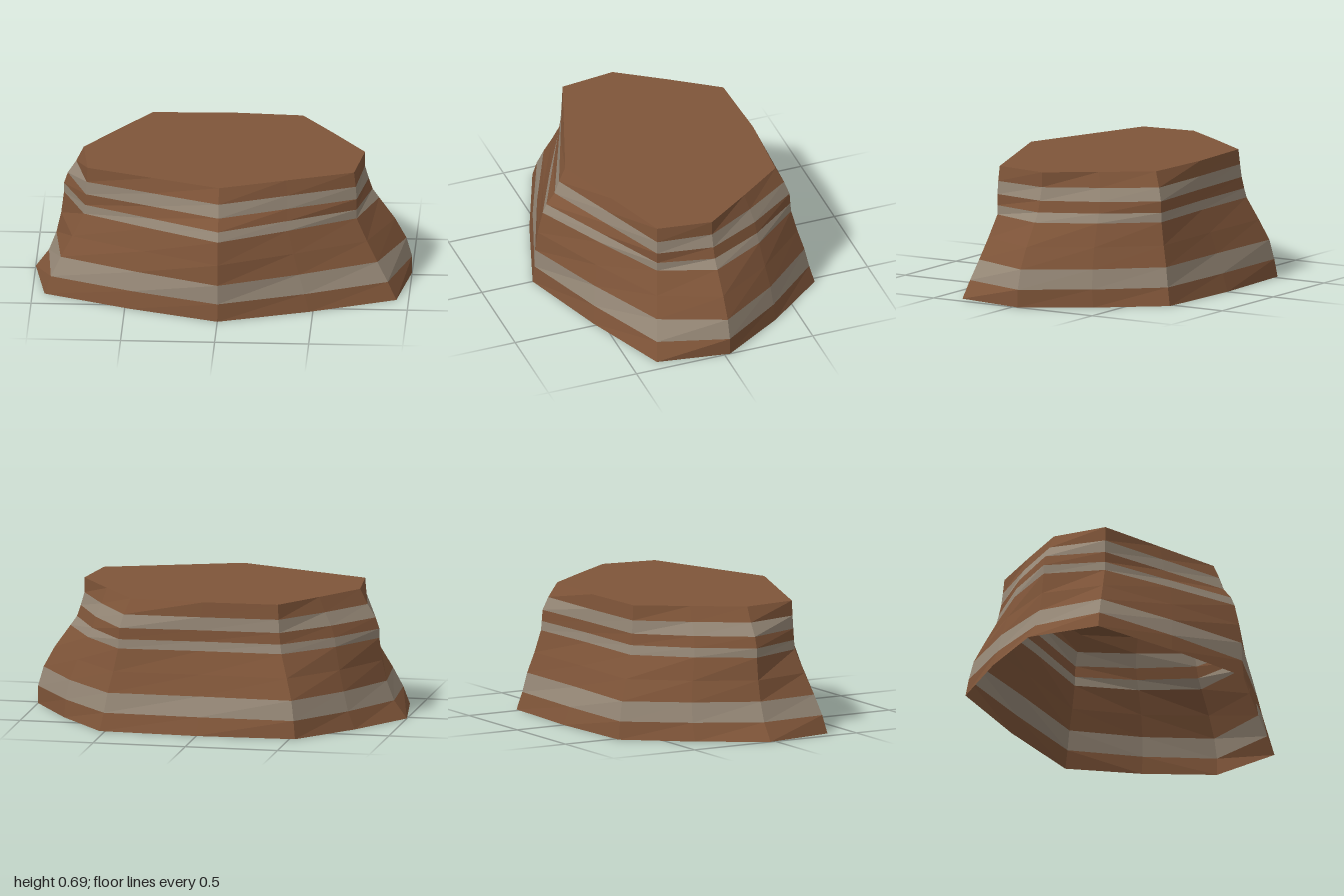
import * as THREE from 'three';

export function createModel() {
  const group = new THREE.Group();
  group.name = 'rockPlateau';
  const material = (name, color) => {
    const m = new THREE.MeshStandardMaterial({ color, flatShading: true, side: THREE.DoubleSide });
    m.name = name;
    return m;
  };
  const brown = material('brown rock', 0x7f5539);
  const grey = material('grey strata', 0x968877);

  // Heights of the strata edges
  const levels = [0, 0.095, 0.2, 0.31, 0.43, 0.48, 0.54, 0.61, 0.69];

  // How far the middle of a long edge stands out at every level
  const frontBulge = [1.025, 1.025, 1.02, 1.015, 1.01, 1, 1, 1, 1];
  const sideBulge = [1.03, 1.035, 1.04, 1.045, 1.05, 1.045, 1.035, 1.02, 1.005];
  const backBulge = [1.035, 1.015, 0.99, 0.99, 0.985, 0.985, 0.99, 1.01, 1.04];

  // Base corners, each with its own eroded profile (scale at every level);
  // bulge belongs to the edge that follows the corner
  const corners = [
    { x: 0, z: 0.712, s: [1, 0.985, 0.98, 0.96, 0.92, 0.89, 0.825, 0.79, 0.74], bulge: frontBulge },
    { x: 0.935, z: 0.36, s: [1, 0.95, 0.89, 0.83, 0.77, 0.77, 0.77, 0.765, 0.755] },
    { x: 1, z: -0.03, s: [1, 1, 0.97, 0.91, 0.825, 0.79, 0.77, 0.75, 0.75], bulge: sideBulge },
    { x: 0.53, z: -0.688, s: [1, 0.965, 0.935, 0.89, 0.85, 0.845, 0.84, 0.805, 0.75], bulge: backBulge },
    { x: -0.53, z: -0.688, s: [1, 0.98, 0.95, 0.885, 0.81, 0.795, 0.78, 0.77, 0.76], bulge: sideBulge },
    { x: -1, z: -0.03, s: [1, 0.93, 0.89, 0.865, 0.85, 0.85, 0.83, 0.785, 0.745] },
    { x: -0.935, z: 0.36, s: [1, 0.965, 0.91, 0.845, 0.78, 0.775, 0.77, 0.765, 0.76], bulge: frontBulge },
  ];

  // One outline per level
  const rings = levels.map((y, level) => {
    const at = (c) => new THREE.Vector3(c.x * c.s[level], y, c.z * c.s[level]);
    const ring = [];
    corners.forEach((c, i) => {
      const a = at(c), b = at(corners[(i + 1) % corners.length]);
      ring.push(a);
      if (c.bulge) {
        const mid = a.clone().lerp(b, 0.5).multiplyScalar(c.bulge[level]);
        mid.y = y;
        ring.push(mid);
      }
    });
    return ring;
  });

  const addMesh = (name, points, mat) => {
    const geometry = new THREE.BufferGeometry().setFromPoints(points);
    geometry.computeVertexNormals();
    const mesh = new THREE.Mesh(geometry, mat);
    mesh.name = name;
    group.add(mesh);
  };

  // Wall bands, alternating rock and strata
  const greyBands = [1, 4, 6];
  for (let k = 0; k < levels.length - 1; k++) {
    const low = rings[k], high = rings[k + 1], points = [];
    low.forEach((p, i) => {
      const j = (i + 1) % low.length;
      points.push(p, low[j], high[j], p, high[j], high[i]);
    });
    const isGrey = greyBands.includes(k);
    addMesh((isGrey ? 'strataBand' : 'rockBand') + k, points, isGrey ? grey : brown);
  }

  // Flat top; the underside stays open
  const top = rings[rings.length - 1];
  const centre = new THREE.Vector3(0, levels[levels.length - 1], 0);
  addMesh('plateauTop', top.flatMap((p, i) => [centre, p, top[(i + 1) % top.length]]), brown);

  return group;
}
